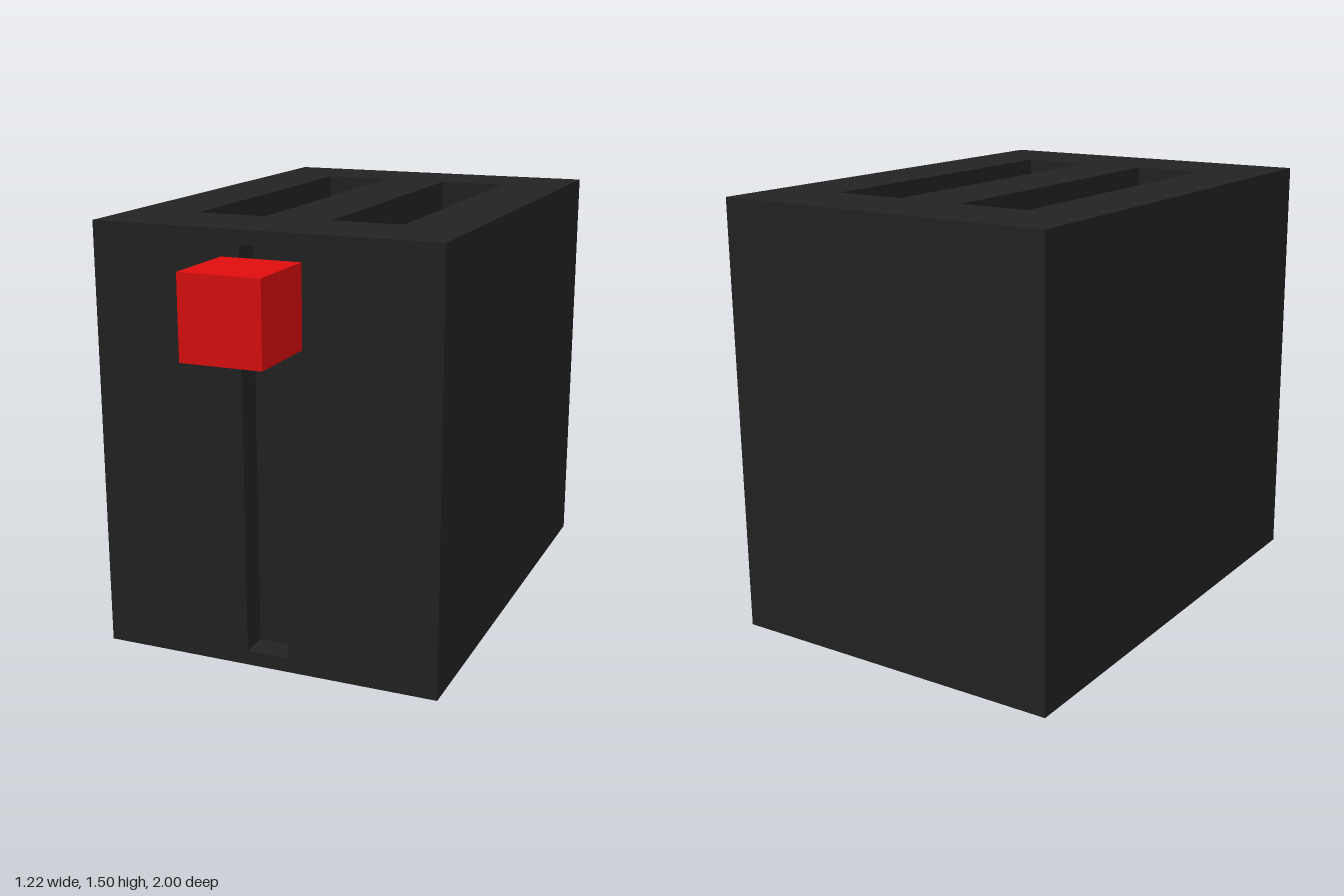
import * as THREE from 'three';
import { mergeGeometries } from 'three/addons/utils/BufferGeometryUtils.js';

const W = 1.22, H = 1.5, BACK = -1, FRONT = 0.71;
const D = FRONT - BACK, MID = (FRONT + BACK) / 2;

// Rectangle outline from its centre and size
function rect(path, cx, cy, w, h) {
  const x = w / 2, y = h / 2;
  path.moveTo(cx - x, cy - y);
  path.lineTo(cx + x, cy - y);
  path.lineTo(cx + x, cy + y);
  path.lineTo(cx - x, cy + y);
  path.closePath();
  return path;
}

// Flat panel facing +z with box-shaped recesses sunk behind it
function panel(w, h, recesses = []) {
  const shape = rect(new THREE.Shape(), 0, 0, w, h);
  const parts = [];
  for (const r of recesses) {
    shape.holes.push(rect(new THREE.Path(), r.x, r.y, r.w, r.h));
    const well = new THREE.BoxGeometry(r.w, r.h, r.depth).translate(r.x, r.y, -r.depth / 2);
    // Drop the open mouth and turn the other faces inward
    const idx = Array.from(well.index.array);
    idx.splice(24, 6);
    well.setIndex(idx.reverse());
    const n = well.attributes.normal;
    for (let i = 0; i < n.count; i++) n.setXYZ(i, -n.getX(i), -n.getY(i), -n.getZ(i));
    parts.push(well);
  }
  return mergeGeometries([new THREE.ShapeGeometry(shape), ...parts]);
}

export function createModel() {
  const model = new THREE.Group();
  model.name = 'toaster';
  const black = new THREE.MeshStandardMaterial({ color: 0x232323 });
  const red = new THREE.MeshStandardMaterial({ color: 0xe00e0e });

  // Casing: six panels, with two bread slots on top and the lever groove in front
  const slots = [-1, 1].map(s => ({ x: s * 0.245, y: 0.005, w: 0.25, h: 1.14, depth: 1.2 }));
  const groove = { x: 0, y: 0, w: 0.15, h: 1.4, depth: 0.1 };
  const q = Math.PI / 2;
  const casing = mergeGeometries([
    panel(W, D, slots).rotateX(-q).translate(0, H, MID),
    panel(W, D).rotateX(q).translate(0, 0, MID),
    panel(W, H, [groove]).translate(0, H / 2, FRONT),
    panel(W, H).rotateY(Math.PI).translate(0, H / 2, BACK),
    panel(D, H).rotateY(q).translate(W / 2, H / 2, MID),
    panel(D, H).rotateY(-q).translate(-W / 2, H / 2, MID),
  ]);
  const body = new THREE.Mesh(casing, black);
  body.name = 'casing';
  model.add(body);

  // Lever knob riding in front of the groove
  const knob = new THREE.Mesh(new THREE.BoxGeometry(0.28, 0.28, 1 - FRONT), red);
  knob.name = 'leverKnob';
  knob.position.set(0, 1.27, (1 + FRONT) / 2);
  model.add(knob);

  return model;
}
